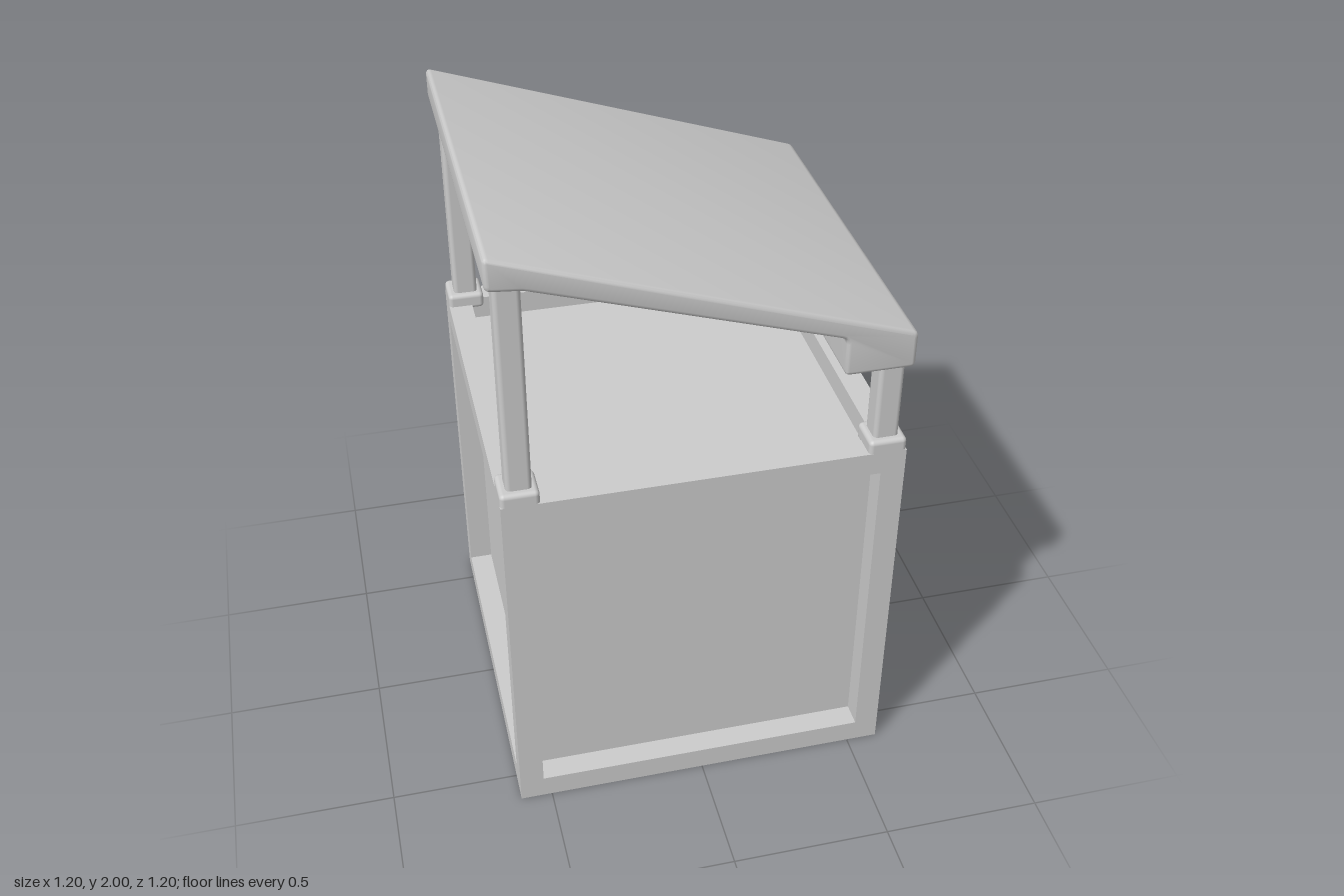
import * as THREE from 'three';
import { toCreasedNormals } from 'three/addons/utils/BufferGeometryUtils.js';
import { RoundedBoxGeometry } from 'three/addons/geometries/RoundedBoxGeometry.js';

const material = new THREE.MeshStandardMaterial({ color: 0xcccccc });

function add(parent, name, geometry, x = 0, y = 0, z = 0) {
  const mesh = new THREE.Mesh(geometry, material);
  mesh.name = name;
  mesh.position.set(x, y, z);
  parent.add(mesh);
  return mesh;
}

// Closed outline whose corners are softened by radius r
function roundedShape(points, r) {
  const pts = points.map(([x, y]) => new THREE.Vector2(x, y));
  const shape = new THREE.Shape();
  pts.forEach((p, i) => {
    const prev = pts[(i + pts.length - 1) % pts.length];
    const next = pts[(i + 1) % pts.length];
    const a = prev.clone().sub(p).setLength(r).add(p);
    const b = next.clone().sub(p).setLength(r).add(p);
    if (i === 0) shape.moveTo(a.x, a.y);
    else shape.lineTo(a.x, a.y);
    shape.quadraticCurveTo(p.x, p.y, b.x, b.y);
  });
  shape.closePath();
  return shape;
}

export function createModel() {
  const model = new THREE.Group();
  model.name = 'shelteredCrate';

  // Crate: square bars along all twelve edges around a recessed core
  const size = 1.2, bar = 0.075, inner = size - 2 * bar, mid = size / 2;
  const edge = mid - bar / 2;
  const crate = new THREE.Group();
  crate.name = 'crate';
  model.add(crate);
  add(crate, 'recessedPanels', new THREE.BoxGeometry(inner, inner, inner), 0, mid, 0);
  for (const a of [-edge, edge]) {
    for (const b of [-edge, edge]) {
      add(crate, 'uprightBar', new THREE.BoxGeometry(bar, size, bar), a, mid, b);
      add(crate, 'crossBar', new THREE.BoxGeometry(inner, bar, bar), 0, mid + a, b);
      add(crate, 'sideBar', new THREE.BoxGeometry(bar, bar, inner), a, mid + b, 0);
    }
  }

  // Roof posts with softened foot blocks, tall on the right, short on the left
  for (const sx of [-1, 1]) {
    for (const sz of [-1, 1]) {
      const top = sx < 0 ? 1.93 : 1.53, foot = 1.2;
      add(model, 'roofPost', new RoundedBoxGeometry(0.076, top - foot, 0.076, 3, 0.014),
        sx * 0.541, (top + foot) / 2, sz * 0.541);
      add(model, 'postFoot', new RoundedBoxGeometry(0.115, 0.055, 0.115, 3, 0.014),
        sx * 0.5425, 1.2135, sz * 0.5425);
    }
  }

  // Sloping roof slab with a thick beam along its low edge
  const bevel = 0.013;
  const profile = roundedShape([
    [-0.6, 2.003], [-0.6, 1.902], [-0.5, 1.893], [0.39, 1.612],
    [0.39, 1.49], [0.6, 1.49], [0.6, 1.607],
  ], 0.018);
  const roof = new THREE.ExtrudeGeometry(profile, {
    depth: size - 2 * bevel, bevelEnabled: true, bevelThickness: bevel,
    bevelSize: bevel, bevelOffset: -bevel, bevelSegments: 3, curveSegments: 4,
  });
  roof.translate(0, 0, -mid + bevel);
  add(model, 'roof', toCreasedNormals(roof, 0.6));

  return model;
}
